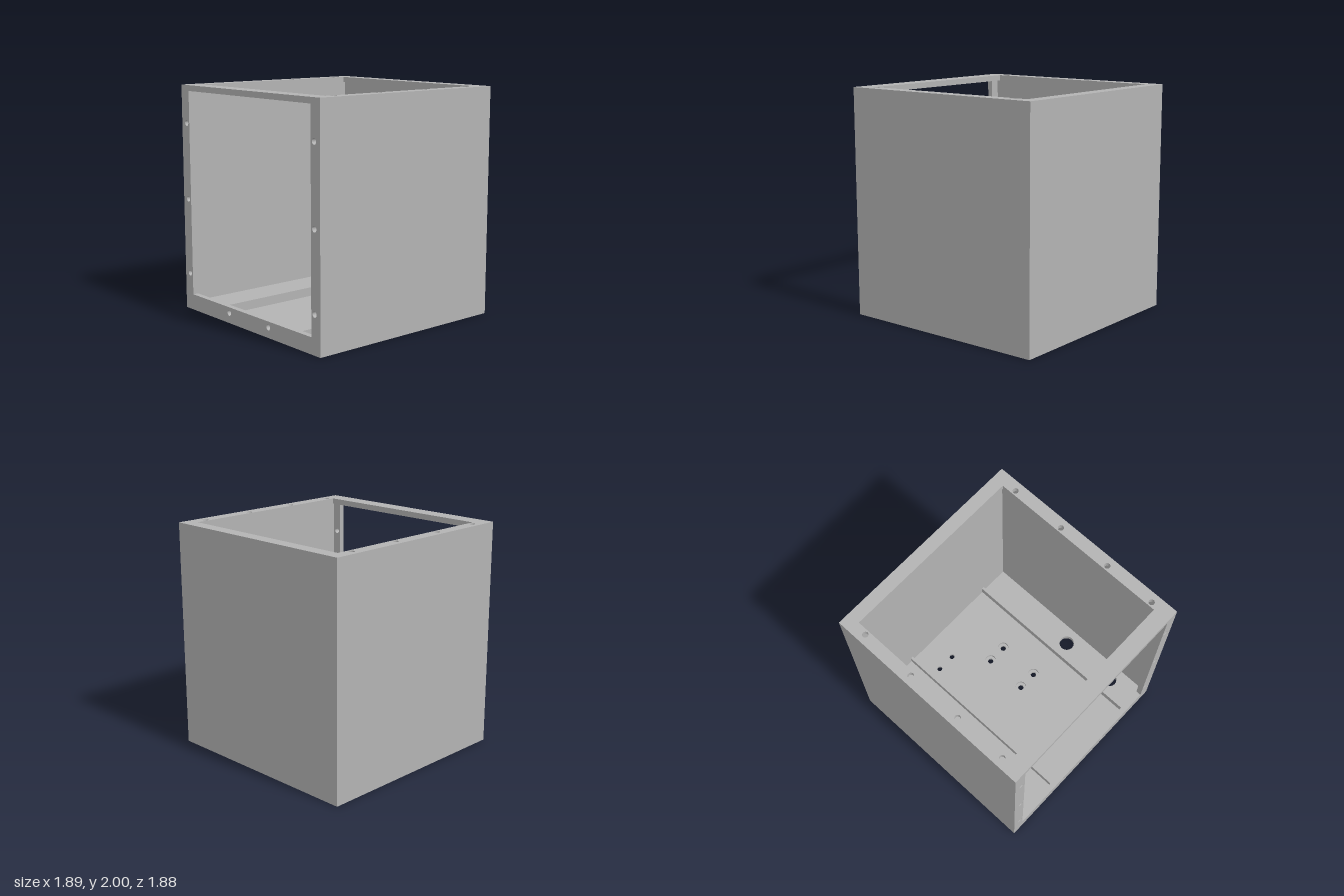
import * as THREE from 'three';

const W = 0.945, D = 0.94, H = 2, WALL = 0.025, PLATE = 0.05;

function rect(Type, x0, x1, y0, y1) {
  const s = new Type();
  s.moveTo(x0, y0);
  s.lineTo(x1, y0);
  s.lineTo(x1, y1);
  s.lineTo(x0, y1);
  s.closePath();
  return s;
}

function drill(shape, points, r) {
  for (const [x, y] of points) {
    const hole = new THREE.Path();
    hole.absarc(x, y, r, 0, Math.PI * 2, true);
    shape.holes.push(hole);
  }
}

const extrude = (shape, depth) =>
  new THREE.ExtrudeGeometry(shape, { depth, bevelEnabled: false, curveSegments: 24 });

export function createModel() {
  const group = new THREE.Group();
  const grey = new THREE.MeshStandardMaterial({ color: 0xb3b3b3 });
  grey.name = 'grey';

  const add = (name, geometry) => {
    const mesh = new THREE.Mesh(geometry, grey);
    mesh.name = name;
    group.add(mesh);
  };
  const box = (name, x0, x1, y0, y1, z0, z1) =>
    add(name, new THREE.BoxGeometry(x1 - x0, y1 - y0, z1 - z0)
      .translate((x0 + x1) / 2, (y0 + y1) / 2, (z0 + z1) / 2));
  // Horizontal plate drawn in x and z, with its top at the given height
  const slab = (name, shape, top, depth) =>
    add(name, extrude(shape, depth).rotateX(Math.PI / 2).translate(0, top, 0));

  // Floor in two layers, giving a square recess below and counterbores above
  const cablePorts = [[-0.61, 0.775], [-0.06, 0.775]];
  const mounts = [[-0.035, 0.14], [0.365, 0.14], [-0.035, 0.32], [0.365, 0.32]];
  const lower = rect(THREE.Shape, -W, W, -D, D);
  lower.holes.push(rect(THREE.Path, 0.51, 0.835, -0.335, -0.02));
  drill(lower, cablePorts, 0.07);
  drill(lower, mounts, 0.026);
  slab('floorLower', lower, PLATE / 2, PLATE / 2);

  const upper = rect(THREE.Shape, -W, W, -D, D);
  drill(upper, cablePorts, 0.07);
  drill(upper, mounts, 0.05);
  drill(upper, [[0.665, -0.26], [0.665, -0.09]], 0.024);
  slab('floorUpper', upper, PLATE, PLATE / 2);

  // Top rim with screw holes
  const rim = rect(THREE.Shape, -W, W, -D, D);
  rim.holes.push(rect(THREE.Path, -0.8, 0.83, -0.833, 0.828));
  for (const x of [-0.745, -0.28, 0.22, 0.72]) drill(rim, [[x, -0.87], [x, 0.865]], 0.025);
  slab('topRim', rim, H, PLATE);

  // Thin walls on three sides
  const y0 = PLATE, y1 = H - PLATE;
  box('frontWall', -W, W, y0, y1, D - WALL, D);
  box('backWall', -W, W, y0, y1, -D, -D + WALL);
  box('sideWall', W - WALL, W, y0, y1, -D + WALL, D - WALL);

  // U-shaped screw flange around the open side
  const e = D - WALL, inner = 0.83, sill = 0.14;
  const flange = new THREE.Shape([
    [-e, y0], [e, y0], [e, y1], [inner, y1], [inner, sill],
    [-inner, sill], [-inner, y1], [-e, y1],
  ].map(([z, y]) => new THREE.Vector2(z, y)));
  for (const y of [0.33, 1, 1.67]) drill(flange, [[-0.87, y], [0.87, y]], 0.025);
  drill(flange, [[-0.275, 0.09], [0.275, 0.09]], 0.025);
  add('sideFlange', extrude(flange, PLATE).rotateY(-Math.PI / 2).translate(-W + PLATE, 0, 0));

  // Ribs across the floor
  for (const z of [-0.39, 0.61]) box('floorRib', -W + PLATE, W - WALL, PLATE, 0.13, z, z + 0.025);

  return group;
}
